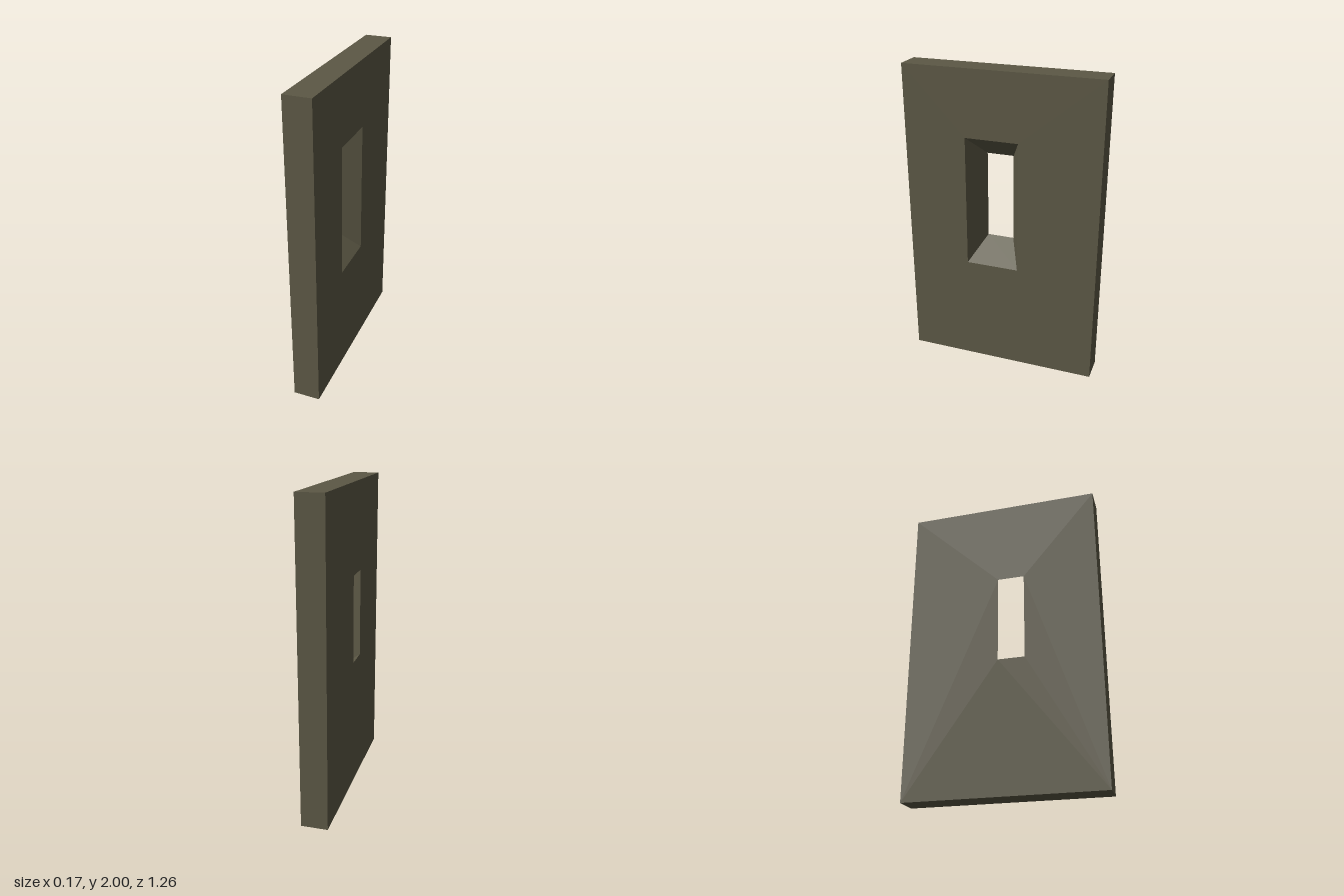
import * as THREE from 'three';

const HEIGHT = 2, WIDTH = 1.256, THICK = 0.17;
// opening centre (across, up) and half sizes on the narrow and wide sides
const CX = -0.058, CY = 1.146;
const NARROW = [0.087, 0.287], WIDE = [0.171, 0.429];

function rectangle(path, x, y, hw, hh) {
  path.moveTo(x - hw, y - hh);
  path.lineTo(x + hw, y - hh);
  path.lineTo(x + hw, y + hh);
  path.lineTo(x - hw, y + hh);
  path.closePath();
  return path;
}

export function createModel() {
  const group = new THREE.Group();
  group.name = 'wallPanel';
  const stone = new THREE.MeshStandardMaterial({ color: 0x5c5845 });
  stone.name = 'olive stone';

  // slab pierced by a straight slot
  const outline = rectangle(new THREE.Shape(), 0, HEIGHT / 2, WIDTH / 2, HEIGHT / 2);
  outline.holes.push(rectangle(new THREE.Path(), CX, CY, ...NARROW));
  const geometry = new THREE.ExtrudeGeometry(outline, { depth: THICK, bevelEnabled: false });

  // splay the slot: widen its corners on the far face only
  const p = geometry.attributes.position;
  for (let i = 0; i < p.count; i++) {
    const dx = p.getX(i) - CX, dy = p.getY(i) - CY;
    const onSlot = Math.abs(dx) < 0.1 && Math.abs(dy) < 0.3;
    if (onSlot && p.getZ(i) > THICK / 2) {
      p.setX(i, CX + Math.sign(dx) * WIDE[0]);
      p.setY(i, CY + Math.sign(dy) * WIDE[1]);
    }
  }

  // turn the wide opening towards +x
  geometry.translate(0, 0, -THICK / 2);
  geometry.rotateY(Math.PI / 2);
  geometry.computeVertexNormals();

  const slab = new THREE.Mesh(geometry, stone);
  slab.name = 'slabWithSplayedSlot';
  group.add(slab);
  return group;
}
